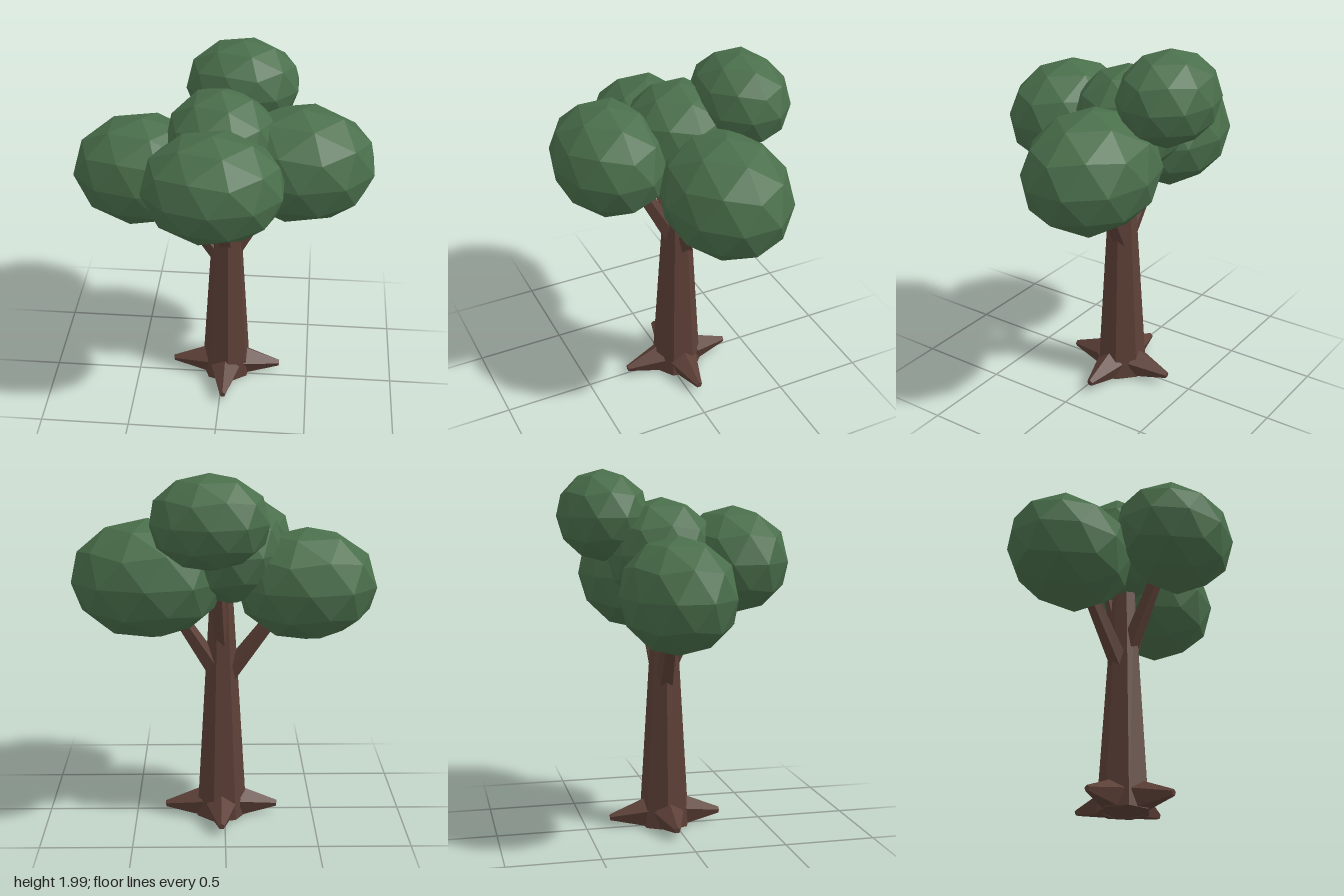
import * as THREE from 'three';

export function createModel() {
  const model = new THREE.Group();
  model.name = 'tree';

  const bark = new THREE.MeshStandardMaterial({ color: 0x5d4037, flatShading: true });
  bark.name = 'brown bark';
  const leaf = new THREE.MeshStandardMaterial({ color: 0x4a6f4b, flatShading: true });
  leaf.name = 'green leaves';

  const cx = 0.02, cz = -0.05; // trunk axis

  // Tapered limb between two points, with one ridge facing up
  function limb(name, from, to, r0, r1, sides = 5) {
    const a = new THREE.Vector3(...from), b = new THREE.Vector3(...to);
    const geo = new THREE.CylinderGeometry(r1, r0, a.distanceTo(b), sides);
    geo.rotateY(Math.PI).rotateX(Math.PI / 2);
    const mesh = new THREE.Mesh(geo, bark);
    mesh.name = name;
    mesh.position.copy(a).add(b).multiplyScalar(0.5);
    mesh.lookAt(b);
    model.add(mesh);
  }

  // Trunk: seven-sided taper
  const trunk = new THREE.Mesh(new THREE.CylinderGeometry(0.065, 0.145, 1.29, 7).rotateY(0.14), bark);
  trunk.name = 'trunk';
  trunk.position.set(cx, 0.655, cz);
  model.add(trunk);

  // Four roots spreading from the foot
  [[1, 0], [-1, 0], [0, 1], [0, -1]].forEach(([x, z]) => limb('root',
    [cx + x * 0.105, 0.078, cz + z * 0.105],
    [cx + x * 0.315, 0.062, cz + z * 0.315], 0.087, 0.018));

  // Branches reaching into the foliage
  limb('rightBranch', [0.01, 0.8, -0.05], [-0.35, 1.29, -0.08], 0.058, 0.035);
  limb('leftBranch', [0.04, 0.85, -0.07], [0.32, 1.3, -0.12], 0.058, 0.035);
  limb('frontBranch', [0.02, 0.9, -0.04], [0.0, 1.42, 0.24], 0.055, 0.035);
  limb('backBranch', [0.02, 0.95, -0.06], [0.04, 1.42, -0.19], 0.05, 0.035);

  // Foliage: one faceted ball turned so a corner points up, then stretched
  const ball = new THREE.IcosahedronGeometry(1, 1);
  ball.rotateZ(-Math.atan(2 / (1 + Math.sqrt(5))));
  const clumps = [
    ['rightFoliage', [-0.44, 1.36, -0.08], [0.39, 0.31, 0.312]],
    ['leftFoliage', [0.41, 1.405, -0.135], [0.42, 0.325, 0.335]],
    ['frontFoliage', [-0.025, 1.505, 0.325], [0.38, 0.297, 0.305]],
    ['backFoliage', [0.08, 1.75, -0.38], [0.318, 0.25, 0.255]],
    ['middleFoliage', [-0.015, 1.55, -0.075], [0.31, 0.3, 0.305]],
  ];
  for (const [name, position, size] of clumps) {
    const mesh = new THREE.Mesh(ball, leaf);
    mesh.name = name;
    mesh.position.set(...position);
    mesh.scale.set(...size);
    model.add(mesh);
  }
  return model;
}
